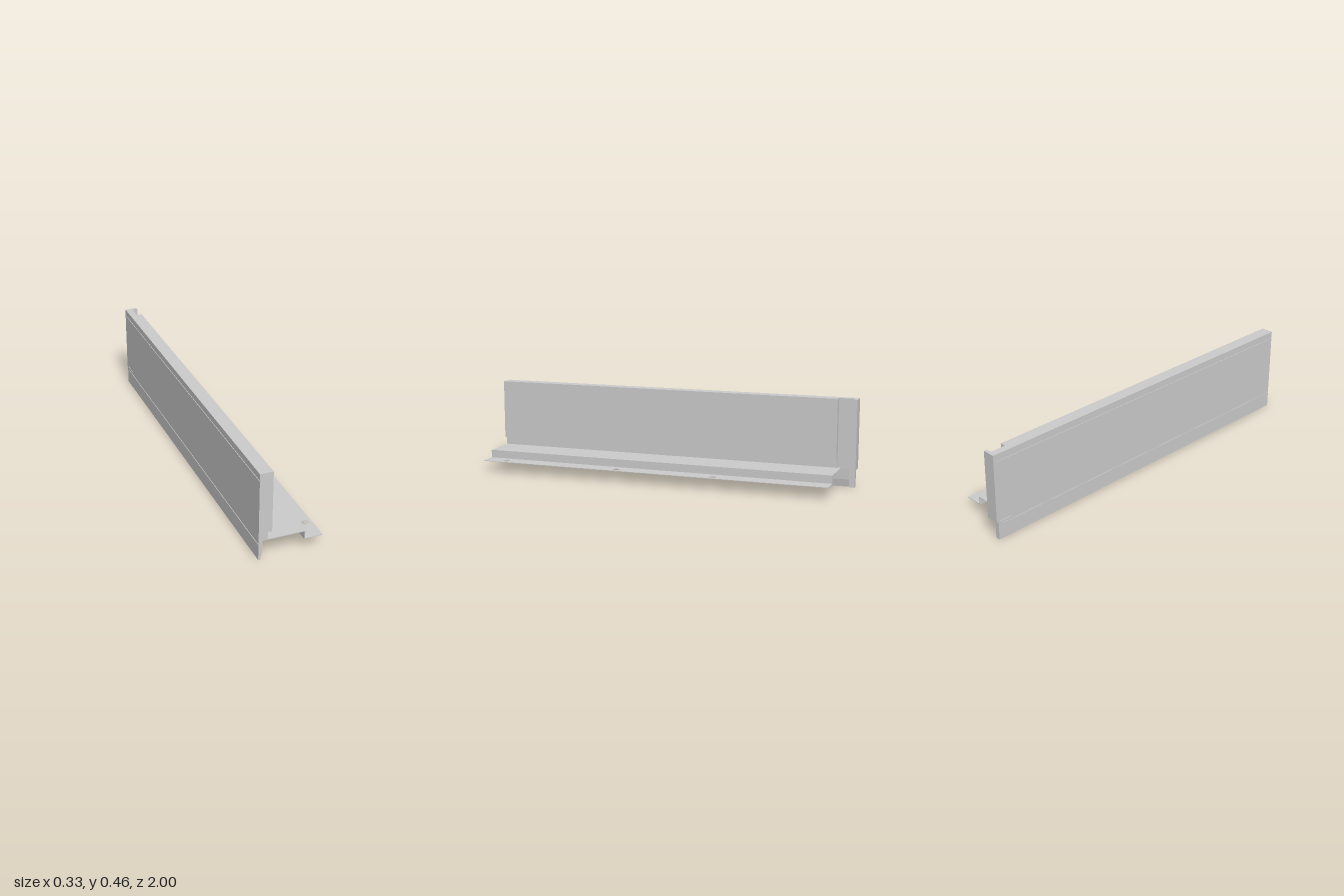
import * as THREE from 'three';

const material = new THREE.MeshStandardMaterial({ color: 0xcccccc, flatShading: true });

export function createModel() {
  const group = new THREE.Group();
  group.name = 'drawerSideRail';

  const addMesh = (name, geometry) => {
    const mesh = new THREE.Mesh(geometry, material);
    mesh.name = name;
    group.add(mesh);
  };
  const toShape = (points) => new THREE.Shape(points.map(([x, y]) => new THREE.Vector2(x, y)));
  // Extrudes an x-y cross-section from z0 to z1
  const addProfile = (name, points, z0, z1) => {
    const geometry = new THREE.ExtrudeGeometry(toShape(points), { depth: z1 - z0, bevelEnabled: false });
    addMesh(name, geometry.translate(0, 0, z0));
  };
  // Box given by its lower and upper corners
  const addBox = (name, [x0, y0, z0], [x1, y1, z1]) => {
    const geometry = new THREE.BoxGeometry(x1 - x0, y1 - y0, z1 - z0);
    addMesh(name, geometry.translate((x0 + x1) / 2, (y0 + y1) / 2, (z0 + z1) / 2));
  };

  const outer = -0.165, inner = -0.098, top = 0.464;
  // Shallow groove in the outer face, listed from top to bottom
  const groove = (y) => [
    [outer, y + 0.003], [outer + 0.003, y + 0.003], [outer + 0.003, y - 0.003], [outer, y - 0.003],
  ];

  // Side wall with stepped inner foot, tapered skirt and two outer grooves
  addProfile('sideWall', [
    [outer, top], ...groove(0.428), ...groove(0.085),
    [outer, 0.001], [-0.163, 0], [-0.155, 0], [-0.147, 0.04], [-0.145, 0.103],
    [-0.118, 0.103], [-0.118, 0.145], [inner, 0.145], [inner, top],
  ], -0.9, 1);

  // Narrower wall behind the body, forming the floor of the rear channel
  addProfile('rearChannelWall', [
    [outer, top], ...groove(0.428), ...groove(0.103),
    [-0.128, 0.1], [-0.128, top],
  ], -0.985, -0.9);

  // Skirt continued under the rear channel, ending in a solid block
  addProfile('rearSkirt', [
    [outer, 0.1], ...groove(0.085), [outer, 0], [-0.155, 0], [-0.147, 0.04], [-0.145, 0.1],
  ], -0.96, -0.9);
  addBox('rearSkirtBlock', [outer, 0, -0.99], [-0.14, 0.1, -0.96]);

  // Lip closing the channel at the rear end
  addBox('rearLip', [outer, 0.1, -1], [inner, top, -0.983]);

  // Stepped sheet flange
  const flangeBack = -0.92, flangeFront = 0.995;
  addProfile('flangeShelf', [
    [-0.145, 0.099], [0.07, 0.099], [0.07, 0.059], [0.074, 0.059], [0.074, 0.103], [-0.145, 0.103],
  ], flangeBack, flangeFront);

  // Mounting strip with three screw holes, drawn in plan and laid flat
  const strip = toShape([
    [0.07, -flangeFront], [0.165, -flangeFront], [0.165, -flangeBack], [0.07, -flangeBack],
  ]);
  for (const z of [-0.31, 0.225, 0.875]) {
    strip.holes.push(new THREE.Path().absarc(0.13, -z, 0.017, 0, Math.PI * 2, true));
  }
  const stripGeometry = new THREE.ExtrudeGeometry(strip, { depth: 0.003, bevelEnabled: false, curveSegments: 24 });
  addMesh('mountingStrip', stripGeometry.rotateX(-Math.PI / 2).translate(0, 0.058, 0));

  return group;
}
